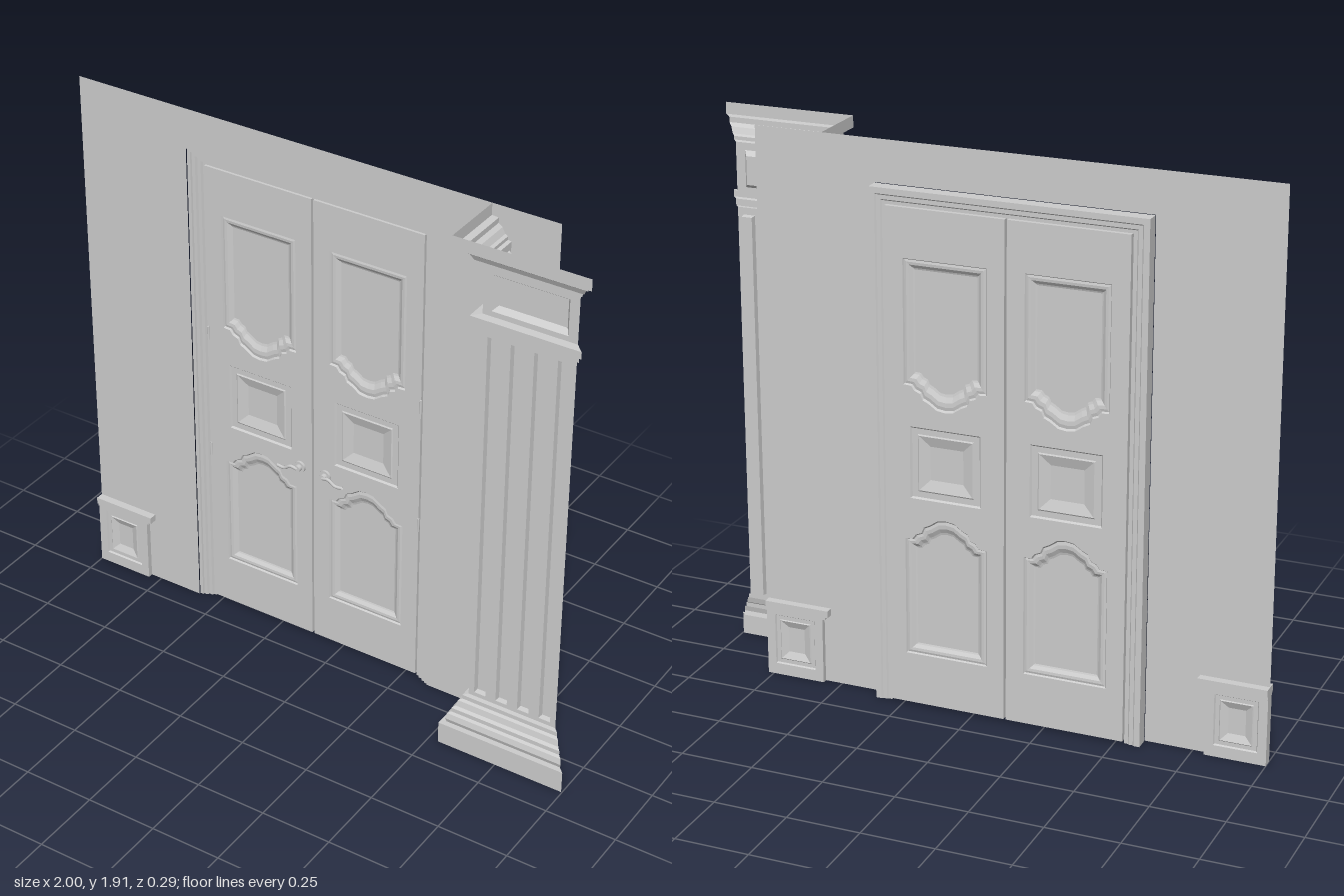
import * as THREE from 'three';
import { mergeGeometries } from 'three/addons/utils/BufferGeometryUtils.js';

const mat = new THREE.MeshStandardMaterial({ color: 0xcccccc, side: THREE.DoubleSide });
const V = (x, y, z = 0) => new THREE.Vector3(x, y, z);

function add(parent, name, geo, x = 0, y = 0, z = 0) {
  const m = new THREE.Mesh(geo, mat);
  m.name = name;
  m.position.set(x, y, z);
  parent.add(m);
  return m;
}

// Flat-shaded skin between successive rows of points
function loft(rows, closed = false) {
  const pos = [];
  for (let r = 0; r + 1 < rows.length; r++) {
    const a = rows[r], b = rows[r + 1], n = a.length;
    for (let i = 0; i < (closed ? n : n - 1); i++) {
      const j = (i + 1) % n;
      for (const p of [a[i], a[j], b[j], a[i], b[j], b[i]]) pos.push(p.x, p.y, p.z);
    }
  }
  const g = new THREE.BufferGeometry();
  g.setAttribute('position', new THREE.Float32BufferAttribute(pos, 3));
  g.computeVertexNormals();
  return g;
}

function flat(outline, holes = [], z = 0) {
  const s = new THREE.Shape(outline.map(p => new THREE.Vector2(p.x, p.y)));
  s.holes = holes.map(h => new THREE.Path(h.map(p => new THREE.Vector2(p.x, p.y))));
  const g = new THREE.ShapeGeometry(s).toNonIndexed();
  g.deleteAttribute('uv');
  return g.translate(0, 0, z);
}

const rect = (x0, y0, x1, y1) => [V(x0, y0), V(x1, y0), V(x1, y1), V(x0, y1)];

// Moulded recess: outline blends from outer to inner along steps of [blend, depth]
const recess = (outer, inner, steps) =>
  steps.map(([t, z]) => outer.map((p, i) => p.clone().lerp(inner[i], t).setZ(z)));

// Flat face with sunk panels
function panelledFace(outline, panels) {
  const parts = [flat(outline, panels.map(p => p[0]))];
  for (const rows of panels) {
    const last = rows[rows.length - 1];
    parts.push(loft(rows, true), flat(last, [], last[0].z));
  }
  return mergeGeometries(parts);
}

const grow = (x0, y0, x1, y1, d) => rect(x0 + d, y0 + d, x1 - d, y1 - d);
const MOULD = [[0, 0], [0.1, -0.006], [0.3, -0.004], [0.55, -0.005], [0.85, -0.013], [1, -0.015]];
const COFFER = [[0, 0], [0.08, -0.006], [0.38, -0.006], [0.45, -0.003], [1, -0.014]];

// Rectangle whose far end is a scalloped curve
const SCALLOP = [[1, 0], [0.82, 0.02], [0.74, 0.22], [0.6, 0.32], [0.54, 0.58], [0.4, 0.7], [0.2, 0.95]];
function scalloped(w, yFlat, yShoulder, rise) {
  const half = SCALLOP.map(([u, v]) => V(u * w, yShoulder + v * rise));
  const pts = [V(-w, yFlat), V(w, yFlat), ...half, V(0, yShoulder + rise),
    ...half.map(p => V(-p.x, p.y)).reverse()];
  return rise < 0 ? pts.reverse() : pts;
}

function doorLeaf(name) {
  const g = new THREE.Group();
  g.name = name;
  const w = 0.2035, T = 0.02, outline = rect(-w, 0.012, w, 1.715);
  const panels = [
    recess(scalloped(0.143, 1.55, 1.13, -0.078), scalloped(0.107, 1.513, 1.172, -0.062), MOULD),
    recess(rect(-0.123, 0.743, 0.123, 0.99), rect(-0.057, 0.81, 0.057, 0.925), COFFER),
    recess(scalloped(0.143, 0.19, 0.6, 0.08), scalloped(0.107, 0.226, 0.567, 0.06), MOULD),
  ];
  const face = panelledFace(outline, panels);
  add(g, 'leafFront', face, 0, 0, T);
  add(g, 'leafBack', face, 0, 0, -T).scale.z = -1;
  add(g, 'leafEdge', loft([-T, T].map(z => outline.map(p => V(p.x, p.y, z))), true));
  return g;
}

function handle(side) {
  const g = new THREE.Group();
  g.name = 'doorHandle';
  const disc = (r, h, z) => add(g, 'rosette', new THREE.CylinderGeometry(r, r, h, 20).rotateX(Math.PI / 2), 0, 0, z);
  disc(0.021, 0.008, 0.004);
  disc(0.012, 0.022, 0.011);
  const path = new THREE.CatmullRomCurve3([V(0, 0, 0.02), V(side * 0.025, 0.004, 0.022),
    V(side * 0.05, -0.012, 0.021), V(side * 0.078, -0.012, 0.019)]);
  add(g, 'lever', new THREE.TubeGeometry(path, 16, 0.006, 8));
  return g;
}

// Dado block, panelled on both faces; its free end points to +x
function dadoBlock(name) {
  const g = new THREE.Group();
  g.name = name;
  const T = 0.018, outline = rect(0, 0, 0.208, 0.246);
  const face = panelledFace(outline, [recess(grow(0.03, 0.04, 0.178, 0.22, 0), grow(0.03, 0.04, 0.178, 0.22, 0.045), COFFER)]);
  add(g, 'blockFront', face, 0, 0, T);
  add(g, 'blockBack', face, 0, 0, -T).scale.z = -1;
  add(g, 'blockEdge', loft([-T, T].map(z => outline.map(p => V(p.x, p.y, z))), true));
  add(g, 'blockCap', new THREE.BoxGeometry(0.233, 0.024, 0.056), 0.1165, 0.258, 0);
  add(g, 'blockCapMoulding', new THREE.BoxGeometry(0.22, 0.012, 0.046), 0.11, 0.24, 0);
  return g;
}

// Hollow pilaster: a front and a left return
function pilaster() {
  const g = new THREE.Group();
  g.name = 'pilaster';
  const XL = 0.605, XR = 0.927, ZF = 0.075, ZB = -0.085;
  const band = (name, prof) => add(g, name, loft(prof.map(([d, y]) =>
    [V(XL - d, y, ZB), V(XL - d, y, ZF + d), V(XR + d, y, ZF + d)])));
  band('pilasterBase', [[0.07, 0], [0.07, 0.08], [0.05, 0.08], [0.055, 0.095], [0.05, 0.115], [0.04, 0.12],
    [0.04, 0.135], [0.03, 0.142], [0.025, 0.163], [0.015, 0.168], [0.015, 0.183], [0, 0.185]]);
  band('neckBand', [[0, 1.58], [0.013, 1.58], [0.013, 1.603], [0.028, 1.605], [0.028, 1.63], [0, 1.632]]);
  band('capital', [[0, 1.8], [0.012, 1.803], [0.012, 1.815], [0.022, 1.82], [0.032, 1.84], [0.046, 1.85],
    [0.046, 1.868], [0.07, 1.87], [0.07, 1.91]]);

  const sunk = (x0, y0, x1, y1, e, d) => recess(grow(x0, y0, x1, y1, 0), grow(x0, y0, x1, y1, e), [[0, 0], [1, -d]]);
  const flute = x => sunk(x, 0.2, x + 0.042, 1.556, 0.003, 0.018);
  const toSide = m => { m.rotation.y = -Math.PI / 2; };
  add(g, 'shaftFront', panelledFace(rect(XL, 0.185, XR, 1.58), [0, 1, 2, 3].map(i => flute(0.625 + i * 0.08))), 0, 0, ZF);
  toSide(add(g, 'shaftSide', panelledFace(rect(ZB, 0.185, ZF, 1.58), [-0.068, 0.012].map(flute)), XL));
  add(g, 'friezeFront', panelledFace(rect(XL, 1.632, XR, 1.8), [sunk(0.635, 1.65, 0.894, 1.775, 0.014, 0.02)]), 0, 0, ZF);
  toSide(add(g, 'friezeSide', panelledFace(rect(ZB, 1.632, ZF, 1.8), [sunk(-0.075, 1.65, 0.047, 1.775, 0.012, 0.02)]), XL));
  return g;
}

export function createModel() {
  const root = new THREE.Group();
  root.name = 'doorwayWall';

  // Thin wall around the opening
  const L = -0.585, R = 0.35, H = 1.768;
  add(root, 'wall', flat([V(-1, 0), V(L, 0), V(L, H), V(R, H), V(R, 0), V(0.77, 0), V(0.77, 1.91), V(-1, 1.91)], [], -0.087));

  // Stepped door frame swept up, over and down
  const prof = [[0, -0.138], [0, -0.092], [0.012, -0.092], [0.014, -0.098], [0.026, -0.098], [0.03, -0.106],
    [0.042, -0.106], [0.046, -0.114], [0.055, -0.114], [0.055, -0.13], [0.042, -0.13], [0.038, -0.134],
    [0.024, -0.134], [0.02, -0.138], [0, -0.138]];
  add(root, 'doorFrame', loft(prof.map(([o, z]) =>
    [V(L + o, 0, z), V(L + o, H - o, z), V(R - o, H - o, z), V(R - o, 0, z)])));

  // Two leaves with handles and hinges
  for (const s of [-1, 1]) {
    const leaf = doorLeaf(s < 0 ? 'rightDoorLeaf' : 'leftDoorLeaf');
    leaf.position.set(-0.1175 + s * 0.2075, 0, -0.125);
    root.add(leaf);
    const h = handle(s);
    h.position.set(-0.1175 + s * 0.05, 0.69, -0.105);
    root.add(h);
    for (const y of [0.63, 1.09])
      add(root, 'hinge', new THREE.CylinderGeometry(0.004, 0.004, 0.05, 8), -0.1175 + s * 0.411, y, -0.104);
  }

  // Dado blocks at both ends of the wall
  const right = dadoBlock('rightDadoBlock');
  right.position.set(-1, 0, -0.087);
  const left = dadoBlock('leftDadoBlock');
  left.position.set(0.77, 0, -0.087);
  left.scale.x = -1;
  root.add(right, left, pilaster());
  return root;
}
